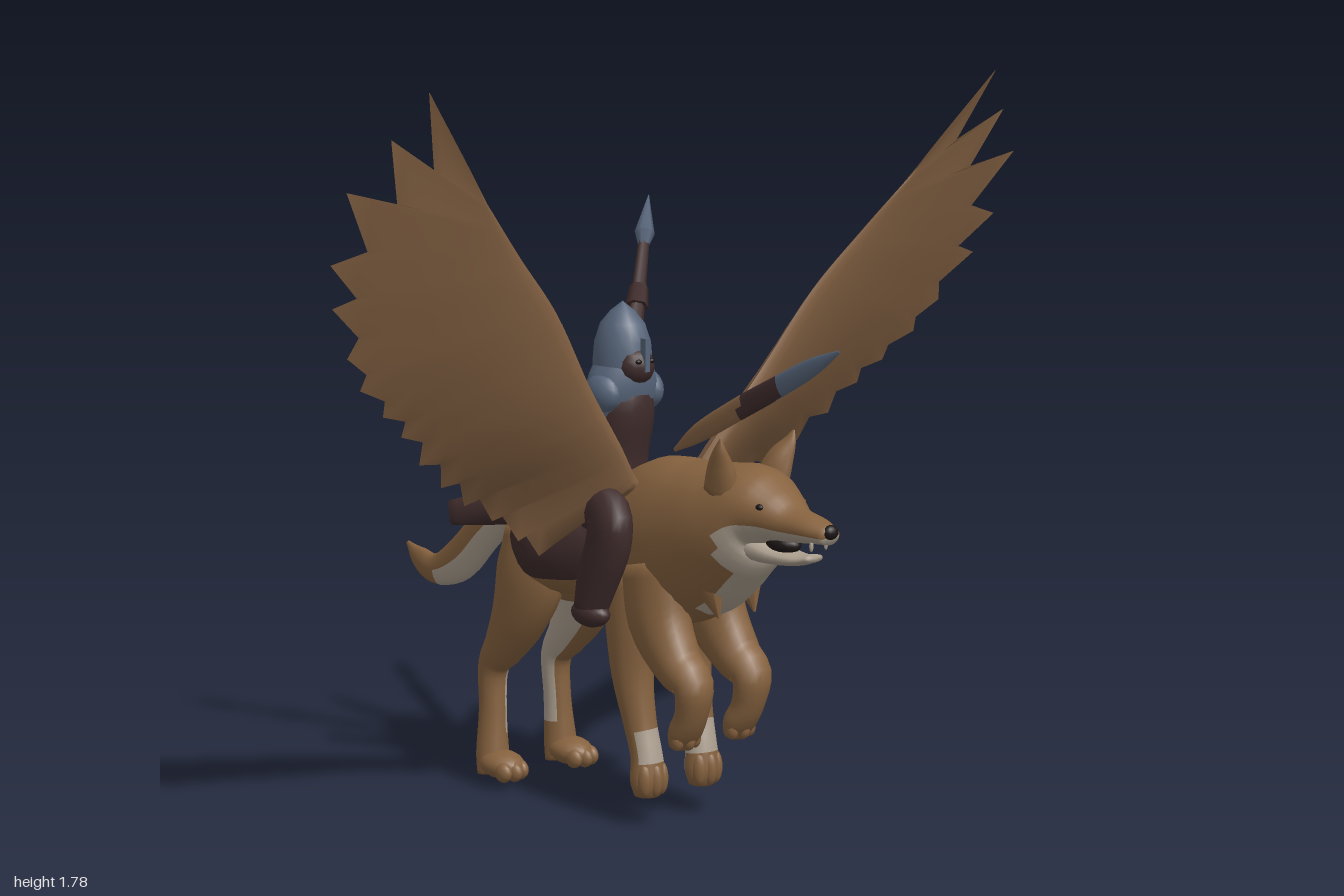
import * as THREE from 'three';

const mat = (name, color, side = THREE.FrontSide) => {
  const m = new THREE.MeshStandardMaterial({ color, side });
  m.name = name;
  return m;
};
const fur = mat('fur', 0x86623f), pale = mat('paleFur', 0xada090), leather = mat('leather', 0x402c2c),
  steel = mat('steel', 0x566479), black = mat('black', 0x1c1615), plume = mat('feather', 0x866344, THREE.DoubleSide);

const V = (x, y, z) => new THREE.Vector3(x, y, z);

function add(parent, name, geo, material) {
  const m = new THREE.Mesh(geo, material);
  m.name = name;
  parent.add(m);
  return m;
}

function indexed(pos, index) {
  const g = new THREE.BufferGeometry();
  g.setAttribute('position', new THREE.Float32BufferAttribute(pos, 3));
  g.setIndex(index);
  g.computeVertexNormals();
  return g;
}

// Smooth body along stations [x, y, z, halfWidth, halfThickness]; pick(point, cos, sin) selects the material
function loft(parent, name, rows, mats, pick = () => 0, seg = 16, sub = 4) {
  const path = new THREE.CatmullRomCurve3(rows.map(r => V(r[0], r[1], r[2])), false, 'catmullrom');
  const radii = new THREE.CatmullRomCurve3(rows.map(r => V(r[3], r[4], 0)), false, 'catmullrom');
  const n = (rows.length - 1) * sub, pos = [], info = [], faces = mats.map(() => []);
  for (let i = 0; i <= n; i++) {
    const c = path.getPoint(i / n), t = path.getTangent(i / n), r = radii.getPoint(i / n);
    const side = V(1, 0, 0).addScaledVector(t, -t.x).normalize(), up = t.clone().cross(side);
    for (let j = 0; j < seg; j++) {
      const a = j / seg * Math.PI * 2, ca = Math.cos(a), sa = Math.sin(a);
      const p = c.clone().addScaledVector(side, ca * r.x).addScaledVector(up, sa * r.y);
      pos.push(p.x, p.y, p.z);
      info.push([p, ca, sa]);
    }
  }
  for (let i = 0; i < n; i++) for (let j = 0; j < seg; j++) {
    const k = (j + 1) % seg, a = i * seg + j, b = i * seg + k, c = b + seg, d = a + seg;
    faces[pick(...info[a])].push(a, b, c, a, c, d);
  }
  const e = n * seg, s0 = pos.length / 3;
  for (const u of [0, 1]) pos.push(...path.getPoint(u).toArray());
  for (let j = 0; j < seg; j++) {
    const k = (j + 1) % seg;
    faces[pick(...info[j])].push(s0, k, j);
    faces[pick(...info[e + j])].push(s0 + 1, e + j, e + k);
  }
  const g = indexed(pos, faces.flat());
  let start = 0;
  faces.forEach((f, i) => { g.addGroup(start, f.length, i); start += f.length; });
  add(parent, name, g, mats);
}

function blob(parent, name, p, r, material) {
  const m = add(parent, name, new THREE.SphereGeometry(1, 14, 10), material);
  m.position.set(...p);
  m.scale.set(...r);
}

// Tapered rod between two points
function rod(parent, name, a, b, ra, rb, material, seg = 8) {
  const d = b.clone().sub(a);
  const m = add(parent, name, new THREE.CylinderGeometry(rb, ra, d.length(), seg), material);
  m.position.copy(a).addScaledVector(d, 0.5);
  m.quaternion.setFromUnitVectors(V(0, 1, 0), d.normalize());
}

// Three toes of half-size r in front of a paw
function toes(parent, name, x, y, z, r) {
  for (const i of [-1, 0, 1]) blob(parent, name, [x + i * 0.026, y, z - Math.abs(i) * 0.01], r, fur);
}

// Leading edge from root to wrist, and feather tips from the wingtip back to the root
const LEAD = [[0.08, 0.82, 0.23], [0.14, 0.91, 0.25], [0.26, 1.07, 0.28], [0.39, 1.26, 0.32], [0.52, 1.4, 0.355], [0.65, 1.54, 0.4]];
const TIPS = [[0.845, 1.78], [0.915, 1.68], [1, 1.57], [1, 1.41], [0.97, 1.31], [0.9, 1.19], [0.845, 1.11], [0.765, 1.04],
  [0.7, 0.985], [0.63, 0.91], [0.55, 0.845], [0.47, 0.79], [0.39, 0.745], [0.32, 0.69], [0.27, 0.65]];

// Cambered wing: ribs run from the leading edge to the feathered trailing edge
function wing(parent, s) {
  const trail = [], centre = new THREE.Vector2(0.4, 1.12);
  TIPS.forEach(([x, y], i) => {
    const tip = new THREE.Vector2(x, y);
    if (i) {
      const notch = tip.clone().add(trail[trail.length - 1]).multiplyScalar(0.5);
      notch.addScaledVector(centre.clone().sub(notch).normalize(), Math.max(0.035, 0.18 - 0.025 * i));
      trail.push(notch);
    }
    trail.push(tip);
  });
  trail.push(new THREE.Vector2(0.19, 0.74), new THREE.Vector2(0.08, 0.75));
  const lead = new THREE.CatmullRomCurve3(LEAD.map(p => V(...p))), n = trail.length, rows = 10;
  for (const face of [1, -1]) {
    const pos = [], index = [];
    trail.forEach((t, k) => {
      const f = k / (n - 1), a = lead.getPoint(1 - f);
      const root = 0.07 + 0.3 * Math.max(0, 0.35 - t.x);
      const b = V(t.x, t.y, Math.max(root, 0.47 + 0.41 * (t.y - 1.77)));
      for (let j = 0; j <= rows; j++) {
        const v = (j / rows) ** 1.5, p = a.clone().lerp(b, v);
        const h = 0.11 * Math.min(1, 0.1 + f * 1.2) * Math.sqrt(v) * (1 - v) ** 1.6;
        pos.push(p.x * s, p.y, p.z + face * (h + 0.001));
        if (k < n - 1 && j < rows) {
          const o = k * (rows + 1) + j, q = o + rows + 1;
          index.push(...(s * face > 0 ? [o, q, q + 1, o, q + 1, o + 1] : [o, q + 1, q, o, o + 1, q + 1]));
        }
      }
    });
    add(parent, face > 0 ? 'wingFront' : 'wingBack', indexed(pos, index), plume);
  }
}

export function createModel() {
  const model = new THREE.Group();
  const group = name => {
    const g = new THREE.Group();
    g.name = name;
    model.add(g);
    return g;
  };
  const beast = group('beast'), wings = group('wings'), rider = group('rider'), weapons = group('weapons');

  // Torso, neck and head in one sweep, pale on the throat and cheeks
  loft(beast, 'body', [
    [0, 0.63, -0.32, 0.05, 0.06], [0, 0.62, -0.27, 0.1, 0.12], [0, 0.61, -0.15, 0.125, 0.14], [0, 0.62, 0, 0.12, 0.14],
    [0, 0.65, 0.13, 0.13, 0.17], [0, 0.68, 0.26, 0.14, 0.2], [0, 0.71, 0.38, 0.142, 0.19], [0, 0.755, 0.48, 0.136, 0.155],
    [0, 0.8, 0.57, 0.115, 0.11], [0, 0.8, 0.635, 0.086, 0.072], [0, 0.786, 0.7, 0.055, 0.043], [0, 0.782, 0.77, 0.044, 0.031],
    [0, 0.776, 0.82, 0.026, 0.021]], [fur, pale],
    (p, c, s) => ((p.z > 0.53 && s < -0.15) || (p.z > 0.42 && s < -0.8)) ? 1 : 0, 24);
  loft(beast, 'lowerJaw', [[0, 0.725, 0.57, 0.07, 0.045], [0, 0.708, 0.65, 0.048, 0.024], [0, 0.707, 0.72, 0.035, 0.014],
    [0, 0.718, 0.77, 0.022, 0.009]], [pale]);
  blob(beast, 'mouth', [0, 0.735, 0.66], [0.035, 0.025, 0.05], black);
  blob(beast, 'nose', [0, 0.785, 0.82], [0.02, 0.017, 0.014], black);

  // Tail, pale underneath
  loft(beast, 'tail', [[0, 0.69, -0.25, 0.04, 0.05], [0, 0.665, -0.38, 0.028, 0.05], [0, 0.59, -0.49, 0.025, 0.058],
    [0, 0.505, -0.59, 0.024, 0.06], [0, 0.455, -0.7, 0.022, 0.042], [0, 0.47, -0.78, 0.018, 0.034], [0, 0.505, -0.84, 0.004, 0.006]],
    [fur, pale], (p, c, s) => (p.z > -0.68 && p.z < -0.3 && s > 0.3) ? 1 : 0);

  for (const s of [1, -1]) {
    // Ears, eyes, fangs and chest tuft
    loft(beast, 'ear', [[0.075 * s, 0.85, 0.53, 0.035, 0.052], [0.09 * s, 0.905, 0.545, 0.028, 0.038],
      [0.105 * s, 0.945, 0.56, 0.014, 0.02], [0.112 * s, 0.975, 0.568, 0.002, 0.003]], [fur], undefined, 10);
    blob(beast, 'eye', [0.066 * s, 0.825, 0.652], [0.009, 0.008, 0.012], black);
    blob(beast, 'fang', [0.022 * s, 0.75, 0.78], [0.005, 0.014, 0.005], pale);
    rod(beast, 'chestTuft', V(0.06 * s, 0.64, 0.46), V(0.055 * s, 0.54, 0.5), 0.05, 0.003, fur);

    // Raised front legs
    loft(beast, 'raisedForeleg', [[0.075 * s, 0.64, 0.29, 0.07, 0.1], [0.085 * s, 0.51, 0.32, 0.065, 0.09],
      [0.09 * s, 0.415, 0.395, 0.058, 0.062], [0.09 * s, 0.375, 0.45, 0.052, 0.046], [0.088 * s, 0.305, 0.442, 0.042, 0.037],
      [0.085 * s, 0.255, 0.415, 0.045, 0.034], [0.085 * s, 0.22, 0.402, 0.034, 0.022]], [fur]);
    toes(beast, 'raisedToe', 0.085 * s, 0.24, 0.428, [0.016, 0.026, 0.018]);
    // Reaching second pair of legs with hanging paws and pale shins
    loft(beast, 'middleLeg', [[0.075 * s, 0.6, 0.2, 0.06, 0.09], [0.085 * s, 0.48, 0.215, 0.055, 0.075],
      [0.09 * s, 0.36, 0.225, 0.048, 0.055], [0.088 * s, 0.25, 0.25, 0.04, 0.042], [0.085 * s, 0.17, 0.272, 0.04, 0.038],
      [0.085 * s, 0.11, 0.278, 0.046, 0.04], [0.085 * s, 0.073, 0.275, 0.034, 0.028]], [fur, pale],
      (p, c, sn) => (c * s < 0.75 && p.y > (sn < -0.2 ? 0.12 : 0.17) && p.y < (sn < -0.2 ? 0.3 : 0.25)) ? 1 : 0);
    toes(beast, 'middleToe', 0.085 * s, 0.115, 0.305, [0.017, 0.042, 0.02]);
    // Hind legs, pale on the inside
    loft(beast, 'hindLeg', [[0.075 * s, 0.66, -0.18, 0.06, 0.09], [0.09 * s, 0.55, -0.175, 0.065, 0.115],
      [0.1 * s, 0.44, -0.21, 0.055, 0.09], [0.1 * s, 0.35, -0.27, 0.045, 0.062], [0.1 * s, 0.28, -0.322, 0.038, 0.042],
      [0.103 * s, 0.17, -0.322, 0.034, 0.038], [0.108 * s, 0.06, -0.317, 0.042, 0.043], [0.108 * s, 0.008, -0.31, 0.044, 0.044]],
      [fur, pale], (p, c) => (c * s < -0.45 && p.y > 0.12 && p.y < 0.52) ? 1 : 0);
    blob(beast, 'hindPaw', [0.11 * s, 0.036, -0.275], [0.052, 0.036, 0.07], fur);
    toes(beast, 'hindToe', 0.112 * s, 0.027, -0.222, [0.019, 0.026, 0.028]);

    wing(wings, s);

    // Rider's legs, boots, shoulders and coat tails
    loft(rider, 'riderLeg', [[0.09 * s, 0.75, 0.05, 0.05, 0.055], [0.14 * s, 0.755, 0.15, 0.05, 0.055],
      [0.17 * s, 0.76, 0.235, 0.046, 0.062], [0.172 * s, 0.69, 0.235, 0.046, 0.065], [0.176 * s, 0.6, 0.2, 0.042, 0.06],
      [0.18 * s, 0.52, 0.175, 0.036, 0.045]], [leather]);
    blob(rider, 'boot', [0.182 * s, 0.515, 0.18], [0.037, 0.034, 0.06], leather);
    blob(rider, 'shoulderPlate', [0.066 * s, 1.02, 0.08], [0.036, 0.05, 0.055], steel);
    loft(rider, 'coatTail', [[0.1 * s, 0.72, -0.02, 0.07, 0.055], [0.15 * s, 0.72, -0.14, 0.045, 0.045],
      [0.2 * s, 0.71, -0.22, 0.026, 0.042], [0.25 * s, 0.695, -0.295, 0.01, 0.032]], [leather], undefined, 10);

    // Raised spears
    const base = V(0.06 * s, 0.95, 0.01), tip = V(0.36 * s, 1.45, -0.27), at = t => base.clone().lerp(tip, t);
    rod(weapons, 'spearShaft', at(0), at(0.8), 0.028, 0.014, leather);
    rod(weapons, 'spearCollar', at(0.48), at(0.57), 0.03, 0.024, leather, 6);
    rod(weapons, 'spearHeadBase', at(0.75), at(0.82), 0.012, 0.026, steel, 6);
    rod(weapons, 'spearHead', at(0.82), at(1), 0.026, 0.001, steel, 6);
  }

  // Saddle coat draped over the back, with bare fur under the belly
  loft(rider, 'saddleCoat', [[0, 0.69, 0.12, 0.11, 0.12], [0, 0.66, 0.06, 0.145, 0.15], [0, 0.645, -0.04, 0.185, 0.15],
    [0, 0.645, -0.11, 0.185, 0.148], [0, 0.67, -0.18, 0.15, 0.118]], [leather, fur], (p, c, s) => s > 0.8 ? 1 : 0, 20);

  // Rider's body, face and helmet
  loft(rider, 'tunic', [[0, 0.74, 0.04, 0.11, 0.09], [0, 0.85, 0.06, 0.075, 0.065], [0, 0.98, 0.085, 0.075, 0.065],
    [0, 1.05, 0.085, 0.05, 0.05]], [leather]);
  loft(rider, 'backArmour', [[0, 0.84, 0.04, 0.07, 0.045], [0, 0.93, 0.05, 0.085, 0.055], [0, 1.01, 0.068, 0.098, 0.074],
    [0, 1.06, 0.073, 0.085, 0.076], [0, 1.1, 0.073, 0.06, 0.07]], [steel]);
  const profile = [[0.068, 1.03], [0.07, 1.09], [0.066, 1.14], [0.052, 1.185], [0.028, 1.215], [0, 1.238]];
  const helmet = add(rider, 'helmet', new THREE.LatheGeometry(profile.map(p => new THREE.Vector2(...p)), 16), steel);
  helmet.position.z = 0.073;
  helmet.scale.z = 1.1;
  blob(rider, 'face', [0, 1.085, 0.118], [0.05, 0.048, 0.05], leather);
  const guard = add(rider, 'noseGuard', new THREE.BoxGeometry(0.014, 0.08, 0.02), steel);
  guard.position.set(0, 1.115, 0.16);
  for (const s of [1, -1]) blob(rider, 'riderEye', [0.02 * s, 1.1, 0.16], [0.009, 0.006, 0.006], black);

  // Forward lance: thin flat blade with a dark band and a wooden grip
  const lance = [[0.27, 0.9, 0.005], [0.36, 0.953, 0.024], [0.5, 1.026, 0.028], [0.62, 1.085, 0.027], [0.75, 1.15, 0.022], [0.84, 1.195, 0.004]];
  loft(weapons, 'lance', lance.map(([z, y, r]) => [0, y, z, r * 0.35, r]), [plume, leather, steel],
    p => p.z < 0.5 ? 0 : p.z < 0.63 ? 1 : 2, 10, 6);

  return model;
}
